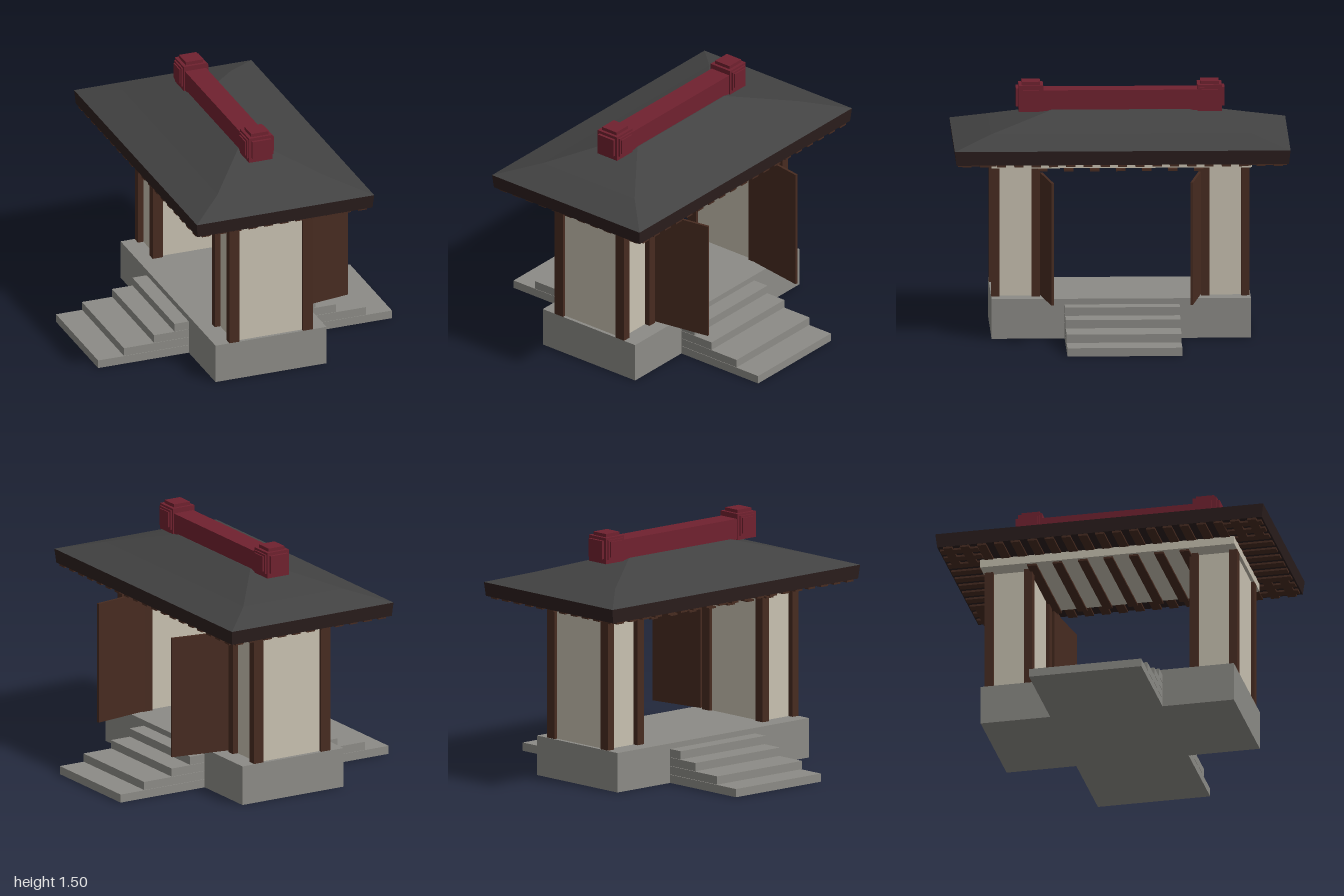
import * as THREE from 'three';

const mat = (name, color) => {
  const m = new THREE.MeshStandardMaterial({ color });
  m.name = name;
  return m;
};

export function createModel() {
  const model = new THREE.Group();
  model.name = 'gatehouse';
  const stone = mat('grey stone', 0x8c8b86);
  const plaster = mat('cream plaster', 0xc8c1b1);
  const wood = mat('brown wood', 0x472b20);
  const eaveWood = mat('dark eave wood', 0x2b1e1d);
  const tile = mat('charcoal tile', 0x424242);
  const red = mat('dark red', 0x70212f);

  const add = (name, geometry, material, parent = model) => {
    const mesh = new THREE.Mesh(geometry, material);
    mesh.name = name;
    parent.add(mesh);
    return mesh;
  };
  // Box given by its limits on each axis
  const box = (name, material, x0, x1, y0, y1, z0, z1, parent) => {
    const mesh = add(name, new THREE.BoxGeometry(x1 - x0, y1 - y0, z1 - z0), material, parent);
    mesh.position.set((x0 + x1) / 2, (y0 + y1) / 2, (z0 + z1) / 2);
    return mesh;
  };
  // Closed solid through rectangular rings [halfX, y, halfZ], bottom to top
  const rings = (list) => {
    const corners = list.map(([x, y, z]) => [[x, y, z], [x, y, -z], [-x, y, -z], [-x, y, z]]);
    const pos = [];
    const quad = (a, b, c, d) => pos.push(...a, ...b, ...c, ...a, ...c, ...d);
    for (let r = 0; r < corners.length - 1; r++) {
      for (let i = 0; i < 4; i++) {
        const j = (i + 1) % 4;
        quad(corners[r][i], corners[r][j], corners[r + 1][j], corners[r + 1][i]);
      }
    }
    const [a, b, c, d] = corners[0];
    quad(d, c, b, a);
    quad(...corners[corners.length - 1]);
    const g = new THREE.BufferGeometry();
    g.setAttribute('position', new THREE.Float32BufferAttribute(pos, 3));
    g.computeVertexNormals();
    return g;
  };

  // Plinth and the stairs on both sides
  box('plinth', stone, -0.36, 0.35, 0, 0.24, -0.77, 0.775);
  [0.94, 0.775, 0.582, 0.452].forEach((reach, i) => {
    for (const s of [-1, 1]) {
      const x = [s * 0.3, s * reach].sort((a, b) => a - b);
      box('step', stone, x[0], x[1], i * 0.052, i * 0.052 + 0.05, -0.345, 0.34);
    }
  });

  // Two wall blocks with corner posts
  for (const [z0, z1] of [[0.485, 0.775], [-0.765, -0.475]]) {
    const bay = new THREE.Group();
    bay.name = 'wallBlock';
    model.add(bay);
    box('wall', plaster, -0.235, 0.23, 0.24, 1.03, z0 + 0.02, z1 - 0.02, bay);
    for (const x of [-0.27, 0.2]) {
      for (const z of [z0, z1 - 0.05]) {
        box('post', wood, x, x + 0.065, 0.24, 1.03, z, z + 0.05, bay);
      }
    }
  }

  // Open door leaves
  for (const s of [-1, 1]) {
    const door = add('door', new THREE.BoxGeometry(0.365, 0.74, 0.016), wood);
    door.position.set(0.443, 0.62, s * 0.443 + 0.005);
    door.rotation.y = s * 0.16;
  }

  // Top beam and ceiling slats
  box('topBeam', plaster, -0.35, 0.345, 1.03, 1.08, -0.775, 0.775);
  for (let i = -3; i <= 3; i++) {
    const z = i * 0.155 + 0.005;
    box('ceilingSlat', wood, -0.35, 0.345, 1.01, 1.022, z - 0.028, z + 0.028);
  }

  // Rafters under the eaves
  for (const s of [-1, 1]) {
    for (let i = -9; i <= 9; i++) {
      const z = i * 0.103;
      const x = [s * 0.32, s * 0.558].sort((a, b) => a - b);
      box('sideRafter', wood, x[0], x[1], 1.076, 1.095, z - 0.027, z + 0.027);
    }
    for (let i = -5; i <= 5; i++) {
      const x = i * 0.1;
      const z = [s * 0.75, s * 0.98].sort((a, b) => a - b);
      box('endRafter', wood, x - 0.027, x + 0.027, 1.076, 1.095, z[0], z[1]);
    }
  }

  // Flared eave and hipped roof
  add('eave', rings([[0.56, 1.088, 0.99], [0.567, 1.172, 1]]), eaveWood);
  add('roof', rings([[0.567, 1.172, 1], [0.35, 1.237, 0.78], [0.07, 1.333, 0.41]]), tile);

  // Ridge with layered end blocks
  box('ridge', red, -0.07, 0.065, 1.325, 1.45, -0.5, 0.5);
  for (const s of [-1, 1]) {
    const end = new THREE.Group();
    end.name = 'ridgeEnd';
    end.position.set(-0.003, 1.407, s * 0.532);
    model.add(end);
    box('endBlock', red, -0.075, 0.075, -0.085, 0.073, -0.073, 0.073, end);
    box('sidePlate', red, -0.085, 0.085, -0.06, 0.06, -0.06, 0.06, end);
    box('outerSidePlate', red, -0.093, 0.093, -0.045, 0.048, -0.048, 0.048, end);
    box('topPlate', red, -0.055, 0.055, 0.073, 0.093, -0.055, 0.055, end);
    box('facePlate', red, -0.06, 0.06, -0.055, 0.055, s > 0 ? 0.06 : -0.09, s > 0 ? 0.09 : -0.06, end);
  }
  return model;
}
